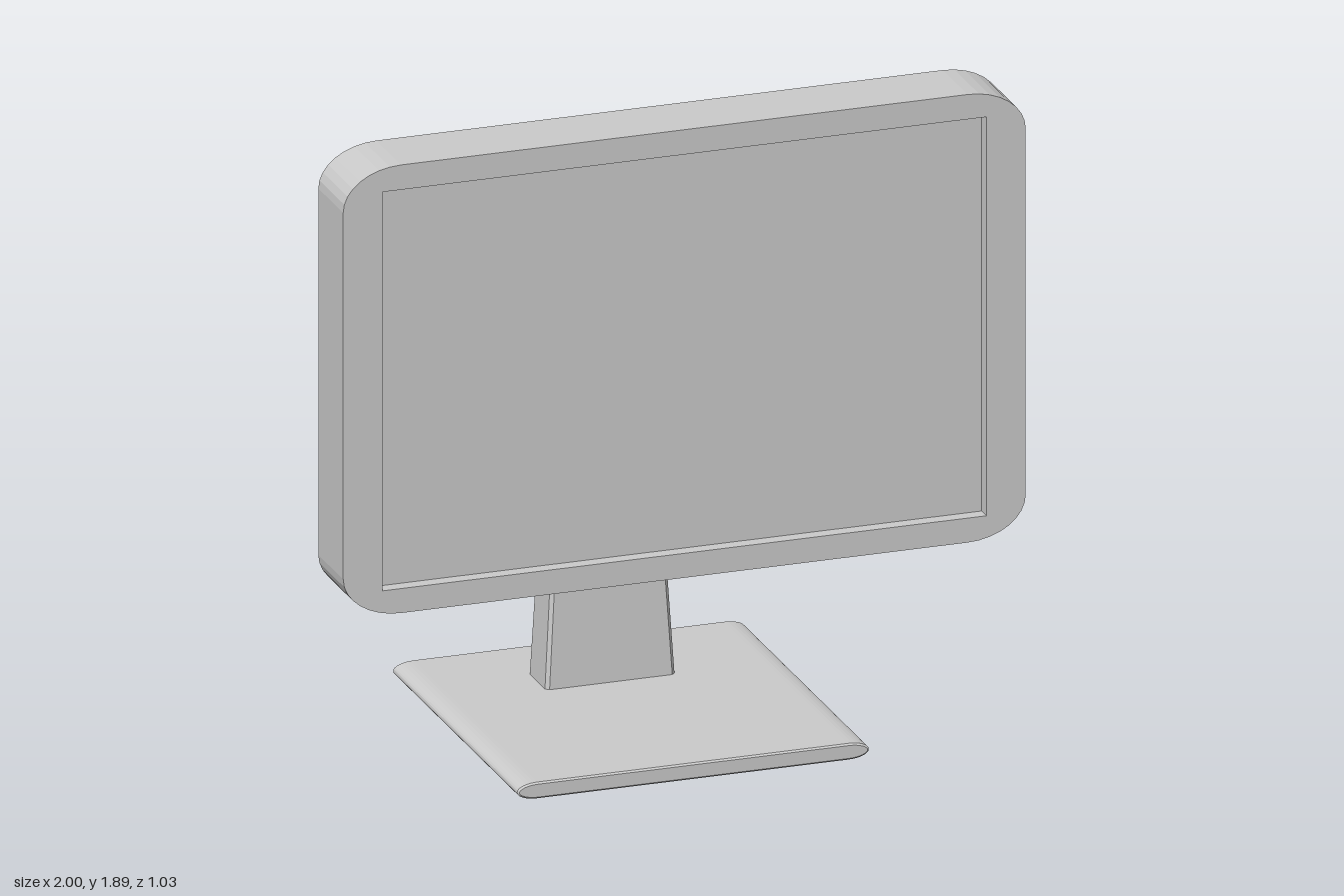
import * as THREE from 'three';

const material = new THREE.MeshStandardMaterial({ color: 0xcccccc, flatShading: true, side: THREE.DoubleSide });

function addMesh(parent, name, geometry) {
  const mesh = new THREE.Mesh(geometry, material);
  mesh.name = name;
  parent.add(mesh);
  return mesh;
}

// Rectangle with elliptical corners
function roundedRect(x0, x1, y0, y1, rx, ry) {
  const s = new THREE.Shape();
  s.moveTo(x1, y0 + ry);
  s.absellipse(x1 - rx, y1 - ry, rx, ry, 0, Math.PI / 2);
  s.absellipse(x0 + rx, y1 - ry, rx, ry, Math.PI / 2, Math.PI);
  s.absellipse(x0 + rx, y0 + ry, rx, ry, Math.PI, Math.PI * 1.5);
  s.absellipse(x1 - rx, y0 + ry, rx, ry, Math.PI * 1.5, Math.PI * 2);
  return s;
}

function extrude(shape, z0, z1, bevel = 0) {
  const g = new THREE.ExtrudeGeometry(shape, {
    depth: z1 - z0 - 2 * bevel, curveSegments: 4, bevelEnabled: bevel > 0,
    bevelSize: bevel, bevelThickness: bevel, bevelOffset: -bevel, bevelSegments: 1,
  });
  return g.translate(0, 0, z0 + bevel);
}

// Loft of chamfered rectangles; each section is [innerZ, innerY, outerZ, outerY, halfWidth]
function loft(sections, chamfer) {
  const pos = [], index = [];
  for (const [iz, iy, oz, oy, w] of sections) {
    const t = chamfer / Math.hypot(oz - iz, oy - iy), v = w - chamfer;
    const ring = [[-v, 0], [v, 0], [w, t], [w, 1 - t], [v, 1], [-v, 1], [-w, 1 - t], [-w, t]];
    for (const [x, k] of ring) pos.push(x, iy + (oy - iy) * k, iz + (oz - iz) * k);
  }
  const n = 8, last = (sections.length - 1) * n;
  for (let i = 0; i < last; i += n) {
    for (let j = 0; j < n; j++) {
      const a = i + j, b = i + (j + 1) % n;
      index.push(a, b, b + n, a, b + n, a + n);
    }
  }
  for (let j = 1; j < n - 1; j++) {
    index.push(0, j + 1, j, last, last + j, last + j + 1);
  }
  const g = new THREE.BufferGeometry();
  g.setAttribute('position', new THREE.Float32BufferAttribute(pos, 3));
  g.setIndex(index);
  const flat = g.toNonIndexed();
  flat.computeVertexNormals();
  return flat;
}

export function createModel() {
  const model = new THREE.Group();
  model.name = 'monitor';

  // Screen housing with a raised bezel around the recessed display
  const display = new THREE.Group();
  display.name = 'display';
  model.add(display);
  const outline = () => roundedRect(-1, 1, 0.57, 1.89, 0.17, 0.12);
  addMesh(display, 'screenHousing', extrude(outline(), 0.235, 0.4));
  const bezel = outline();
  bezel.holes.push(new THREE.Path([
    new THREE.Vector2(-0.885, 0.642), new THREE.Vector2(-0.885, 1.817),
    new THREE.Vector2(0.885, 1.817), new THREE.Vector2(0.885, 0.642),
  ]));
  addMesh(display, 'bezel', extrude(bezel, 0.4, 0.44));

  // Mounting plate on the back of the housing
  const plate = extrude(roundedRect(-0.267, 0.267, 1.13, 1.335, 0.012, 0.012), 0.203, 0.235, 0.005);
  addMesh(model, 'mountPlate', plate);

  // Curved neck flaring into the mounting plate
  addMesh(model, 'neck', loft([
    [-0.165, 0.045, -0.31, 0.045, 0.19],
    [-0.19, 0.79, -0.305, 0.79, 0.145],
    [-0.105, 1.02, -0.21, 1.055, 0.145],
    [-0.03, 1.11, -0.115, 1.18, 0.145],
    [0.02, 1.14, -0.02, 1.24, 0.145],
    [0.075, 1.16, 0.07, 1.28, 0.145],
    [0.155, 1.178, 0.155, 1.29, 0.145],
    [0.205, 1.15, 0.205, 1.315, 0.215],
  ], 0.01));

  // Flat foot with rounded left and right edges
  addMesh(model, 'base', extrude(roundedRect(-0.515, 0.515, 0.002, 0.05, 0.06, 0.023), -0.515, 0.515, 0.005));

  return model;
}
